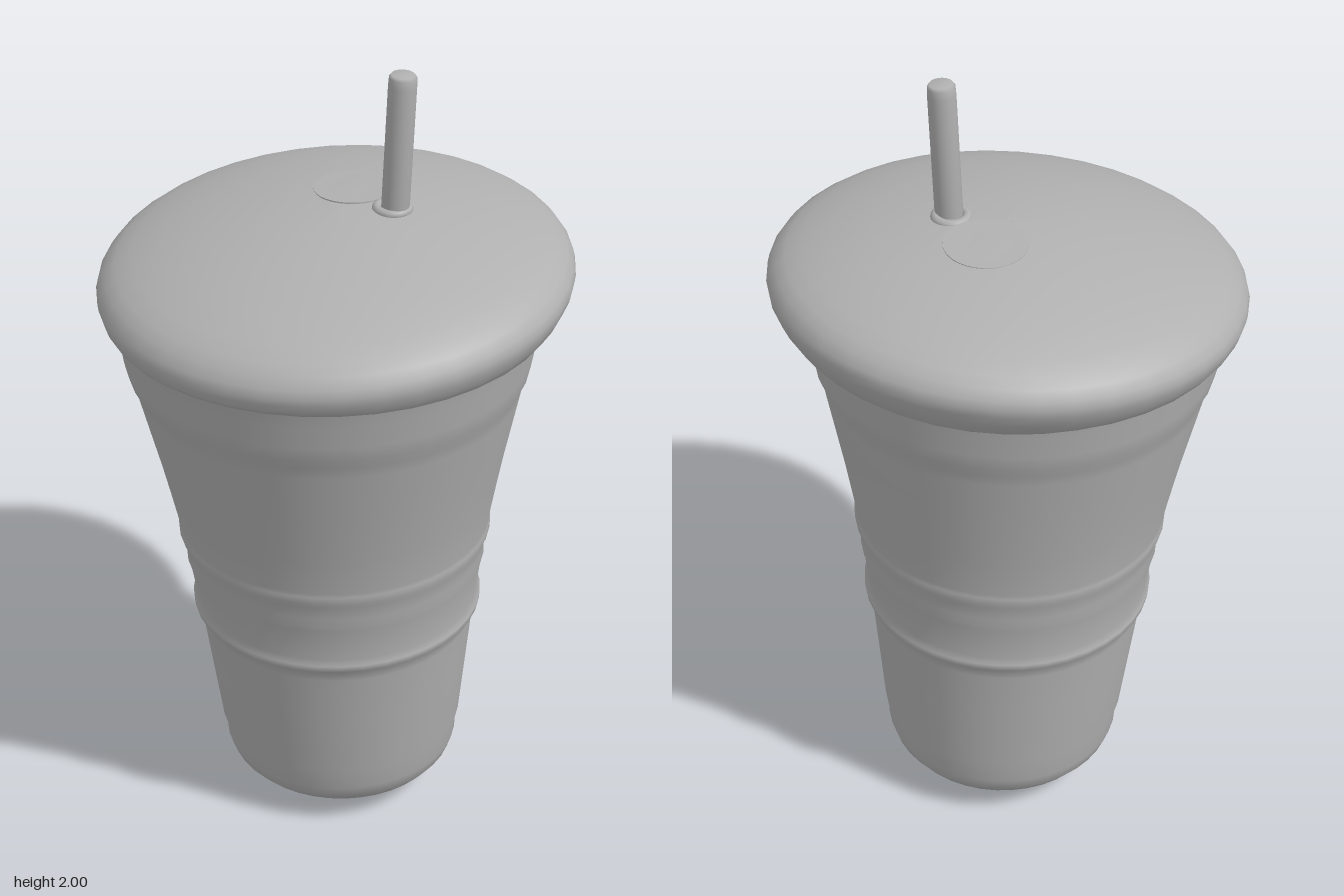
import * as THREE from 'three';

const SIDES = 40;

// Smooth skin through horizontal rings; each ring is { y, r, cx, cz, tilt }, listed upwards.
function loft(rings, sides = SIDES) {
  const pos = [], index = [];
  rings.forEach(({ y, r, cx, cz, tilt }) => {
    for (let j = 0; j < sides; j++) {
      const a = (j / sides) * Math.PI * 2;
      const x = cx + r * Math.cos(a), z = cz + r * Math.sin(a);
      pos.push(x, y + tilt * z, z);
    }
  });
  for (let i = 0; i < rings.length - 1; i++) {
    for (let j = 0; j < sides; j++) {
      const k = (j + 1) % sides;
      const a = i * sides + j, b = i * sides + k;
      const c = a + sides, d = b + sides;
      index.push(a, c, b, b, c, d);
    }
  }
  const g = new THREE.BufferGeometry();
  g.setAttribute('position', new THREE.Float32BufferAttribute(pos, 3));
  g.setIndex(index);
  g.computeVertexNormals();
  return g;
}

export function createModel() {
  const group = new THREE.Group();
  const grey = new THREE.MeshStandardMaterial({ color: 0xb0b0b0 });
  grey.name = 'plain grey';
  const add = (name, geometry) => {
    const mesh = new THREE.Mesh(geometry, grey);
    mesh.name = name;
    group.add(mesh);
    return mesh;
  };

  // Cup: rounded base, tapering wall with raised bands, stepped collar; leans slightly forward
  const cup = [
    [0.001, 0.002], [0.08, 0.005], [0.16, 0.02], [0.22, 0.042], [0.265, 0.07], [0.29, 0.1],
    [0.302, 0.135], [0.304, 0.17], [0.312, 0.2], [0.335, 0.4], [0.349, 0.52], [0.353, 0.545],
    [0.367, 0.56], [0.369, 0.578], [0.359, 0.592], [0.373, 0.69], [0.379, 0.705], [0.379, 0.73],
    [0.387, 0.77], [0.394, 0.785], [0.395, 0.805], [0.392, 0.815], [0.412, 0.92], [0.428, 1.0],
    [0.45, 1.1], [0.472, 1.2], [0.478, 1.23], [0.492, 1.26], [0.5, 1.3], [0.508, 1.36], [0.516, 1.4],
  ];
  add('cup', loft(cup.map(([r, y]) => ({
    r, y, cx: -0.012 + 0.012 * y, cz: -0.041 + 0.053 * y, tilt: -0.02 * Math.min(1, y / 0.1),
  }))));

  // Lid: domed cap, tilted down at the front, with an underside meeting the cup squarely
  const lid = [
    [0.46, 1.41, 0.027, 0], [0.505, 1.394, 0.027, 0], [0.525, 1.396, 0.024, -0.01],
    [0.546, 1.41, 0.014, -0.035], [0.563, 1.435, 0.005, -0.06], [0.574, 1.462, 0, -0.075],
    [0.577, 1.482, 0, -0.08], [0.572, 1.503, 0, -0.08], [0.555, 1.527, 0, -0.08],
    [0.53, 1.546, 0, -0.08], [0.49, 1.566, 0, -0.08], [0.42, 1.592, 0, -0.08],
    [0.32, 1.618, 0, -0.08], [0.2, 1.639, 0, -0.08], [0.1, 1.649, 0, -0.08],
    [0.001, 1.652, 0, -0.08],
  ];
  add('lid', loft(lid.map(([r, y, cz, tilt]) => ({ r, y, cx: 0, cz, tilt }))));

  // Shallow disc on the lid, lifted on the side next to the straw
  const disc = add('lidDisc', new THREE.CylinderGeometry(0.1, 0.1, 0.02, 32));
  disc.position.set(-0.045, 1.645, -0.115);
  disc.rotation.z = 0.04;

  // Soft collar around the straw hole
  const collar = add('strawCollar', new THREE.TorusGeometry(0.038, 0.012, 10, 28));
  collar.rotation.x = Math.PI / 2;
  collar.position.set(0.1, 1.652, -0.092);

  // Straw: closed tube with a softened tip, leaning to the side
  const straw = [[0.0005, 0], [0.034, 0], [0.034, 0.36], [0.033, 0.382], [0.028, 0.389], [0.0005, 0.39]];
  const tube = add('straw', new THREE.LatheGeometry(straw.map(([x, y]) => new THREE.Vector2(x, y)), 24));
  tube.position.set(0.108, 1.61, -0.09);
  tube.rotation.set(-0.013, 0, -0.045);

  return group;
}
